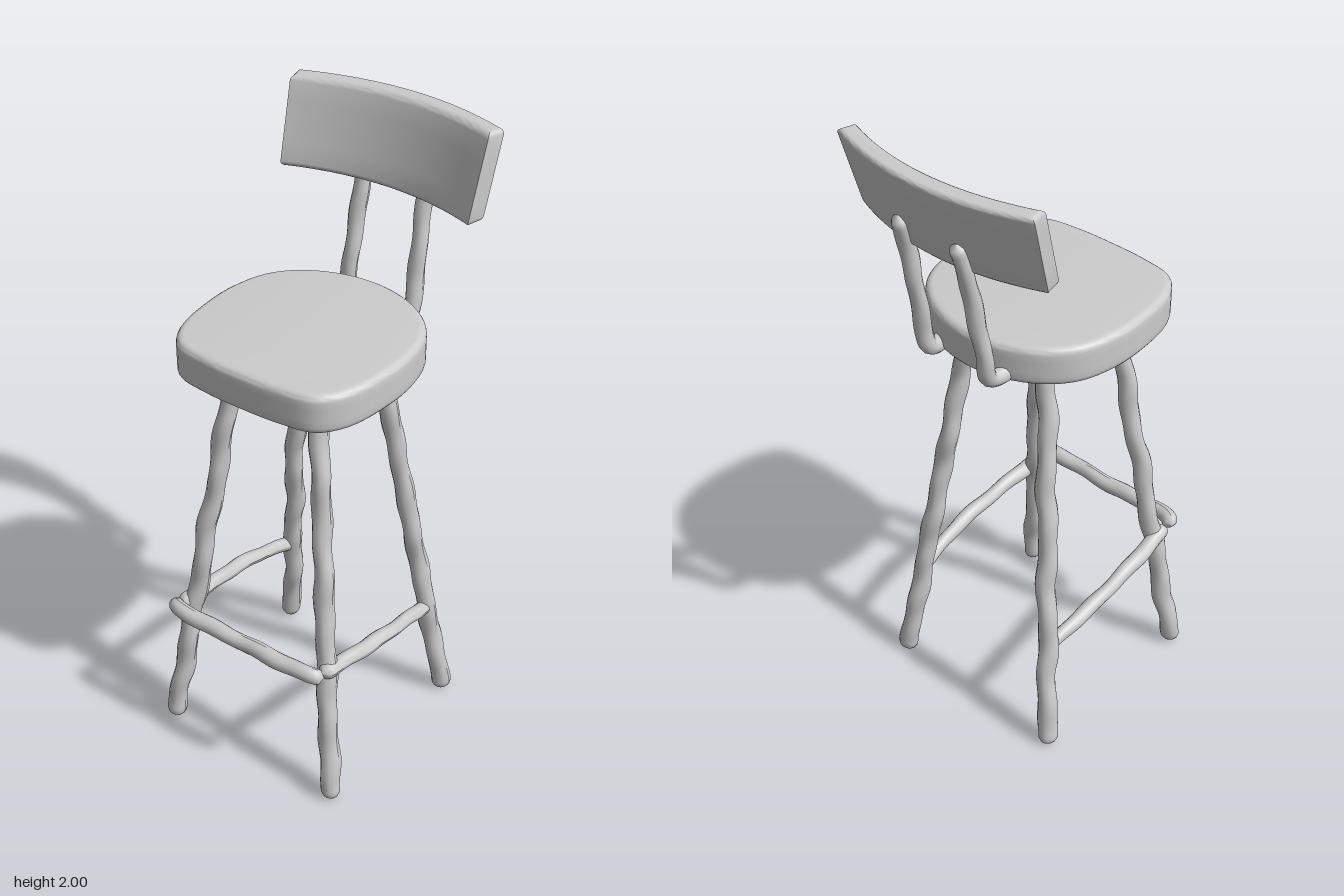
import * as THREE from 'three';
import { toCreasedNormals } from 'three/addons/utils/BufferGeometryUtils.js';

const material = new THREE.MeshStandardMaterial({ color: 0xcccccc });
const V = (x, y, z) => new THREE.Vector3(x, y, z);

function addMesh(group, name, geometry) {
  const mesh = new THREE.Mesh(geometry, material);
  mesh.name = name;
  group.add(mesh);
}

// Rough branch-like rod along a curve, with rounded ends and a gently uneven radius
function branch(points, r0, r1, phase = 0, sides = 12) {
  const curve = new THREE.CatmullRomCurve3(points);
  const length = curve.getLength();
  const steps = Math.ceil(length / 0.012);
  const geo = new THREE.TubeGeometry(curve, steps, 1, sides);
  const pos = geo.attributes.position;
  const p = V(0, 0, 0);
  for (let i = 0; i <= steps; i++) {
    const t = i / steps;
    const centre = curve.getPointAt(t);
    const base = THREE.MathUtils.lerp(r0, r1, t);
    const end = Math.min(t, 1 - t) * length / base;
    const cap = end < 1 ? Math.max(0.02, Math.sqrt(1 - (1 - end) ** 2)) : 1;
    for (let j = 0; j <= sides; j++) {
      const k = i * (sides + 1) + j;
      const a = (j / sides) * Math.PI * 2;
      const knobs = 1 + 0.07 * Math.sin(t * length * 38 + phase + a) + 0.05 * Math.sin(t * length * 23 + phase - 2 * a);
      p.fromBufferAttribute(pos, k).sub(centre).multiplyScalar(base * cap * knobs).add(centre);
      pos.setXYZ(k, p.x, p.y, p.z);
    }
  }
  geo.computeVertexNormals();
  return geo;
}

// Rounded slab: an outline in x and z, extruded upwards from y0 to y1
function slab(shape, y0, y1, bevel, curveSegments) {
  const geo = new THREE.ExtrudeGeometry(shape, {
    depth: y1 - y0 - 2 * bevel, steps: 4, curveSegments,
    bevelSize: bevel, bevelThickness: bevel, bevelOffset: -bevel, bevelSegments: 4,
  });
  geo.rotateX(-Math.PI / 2); // shape y becomes -z
  geo.translate(0, y0 + bevel, 0);
  return geo;
}

function seatGeometry() {
  const half = [[0.13, 0.383], [0.24, 0.36], [0.3, 0.28], [0.328, 0.12], [0.325, 0.01],
    [0.295, -0.1], [0.23, -0.18], [0.12, -0.24]];
  const outline = [[0, 0.388], ...half, [0, -0.26], ...half.map(([x, z]) => [-x, z]).reverse()];
  const curve = new THREE.CatmullRomCurve3(outline.map(([x, z]) => V(x, -z, 0)), true);
  const shape = new THREE.Shape(curve.getPoints(72).slice(0, -1).map((p) => new THREE.Vector2(p.x, p.y)));
  return toCreasedNormals(slab(shape, 1.33, 1.455, 0.022, 1), 0.7);
}

function backrestGeometry() {
  // Curved plan: the wings sweep forwards
  const sweep = (x) => 0.068 * (Math.abs(x) / 0.34) ** 2;
  const shape = new THREE.Shape();
  const n = 32;
  for (let i = 0; i <= n; i++) {
    const x = -0.335 + (0.67 * i) / n;
    const z = -0.3 + sweep(x);
    if (i) shape.lineTo(x, -z);
    else shape.moveTo(x, -z);
  }
  for (let i = n; i >= 0; i--) {
    const x = -0.35 + (0.7 * i) / n;
    shape.lineTo(x, 0.364 - sweep(x));
  }
  const geo = slab(shape, 1.74, 2, 0.016, 1);
  // Lean back and widen a little towards the top
  const pos = geo.attributes.position;
  for (let i = 0; i < pos.count; i++) {
    const t = (pos.getY(i) - 1.74) / 0.26;
    pos.setX(i, pos.getX(i) * (0.98 + 0.035 * t));
    pos.setZ(i, pos.getZ(i) - 0.072 * t);
  }
  return toCreasedNormals(geo, 0.7);
}

export function createModel() {
  const group = new THREE.Group();
  addMesh(group, 'seat', seatGeometry());
  addMesh(group, 'backrest', backrestGeometry());

  for (const s of [1, -1]) {
    const side = s > 0 ? 'left' : 'right';

    // Splayed legs
    for (const [name, zTop, zFoot] of [['Front', 0.215, 0.385], ['Back', -0.075, -0.25]]) {
      const points = [];
      for (let i = 0; i <= 12; i++) {
        const t = i / 12;
        const sway = i > 0 && i < 12 ? 0.004 : 0;
        points.push(V(
          s * (0.317 - 0.172 * t + sway * Math.sin(i * 2.1)),
          1.36 * t,
          THREE.MathUtils.lerp(zFoot, zTop, t) + sway * Math.cos(i * 1.9),
        ));
      }
      addMesh(group, side + name + 'Leg', branch(points, 0.032, 0.029, s + zTop * 9));
    }

    // Side stretcher, falling towards the back
    addMesh(group, side + 'Stretcher', branch([
      V(s * 0.272, 0.485, 0.37), V(s * 0.285, 0.455, 0.2),
      V(s * 0.29, 0.42, 0), V(s * 0.275, 0.365, -0.205),
    ], 0.026, 0.022, s));

    // Back post, bending out from under the seat and up behind the backrest
    addMesh(group, side + 'BackPost', branch([
      V(s * 0.125, 1.36, -0.19), V(s * 0.122, 1.35, -0.25), V(s * 0.12, 1.365, -0.285),
      V(s * 0.118, 1.45, -0.303), V(s * 0.113, 1.6, -0.33),
      V(s * 0.11, 1.74, -0.358), V(s * 0.108, 1.84, -0.387),
    ], 0.026, 0.025, s * 2));
  }

  // Front footrest
  addMesh(group, 'footrest', branch([
    V(-0.292, 0.49, 0.385), V(-0.25, 0.497, 0.405), V(0, 0.492, 0.407),
    V(0.25, 0.495, 0.405), V(0.292, 0.49, 0.385),
  ], 0.026, 0.026));

  // Arched braces between the leg tops
  for (const [name, z] of [['front', 0.215], ['back', -0.075]]) {
    const towardFoot = Math.sign(z) * 0.01;
    addMesh(group, name + 'Brace', branch([
      V(-0.158, 1.24, z + towardFoot), V(-0.125, 1.305, z), V(-0.06, 1.337, z),
      V(0.06, 1.337, z), V(0.125, 1.305, z), V(0.158, 1.24, z + towardFoot),
    ], 0.022, 0.022));
  }
  return group;
}
